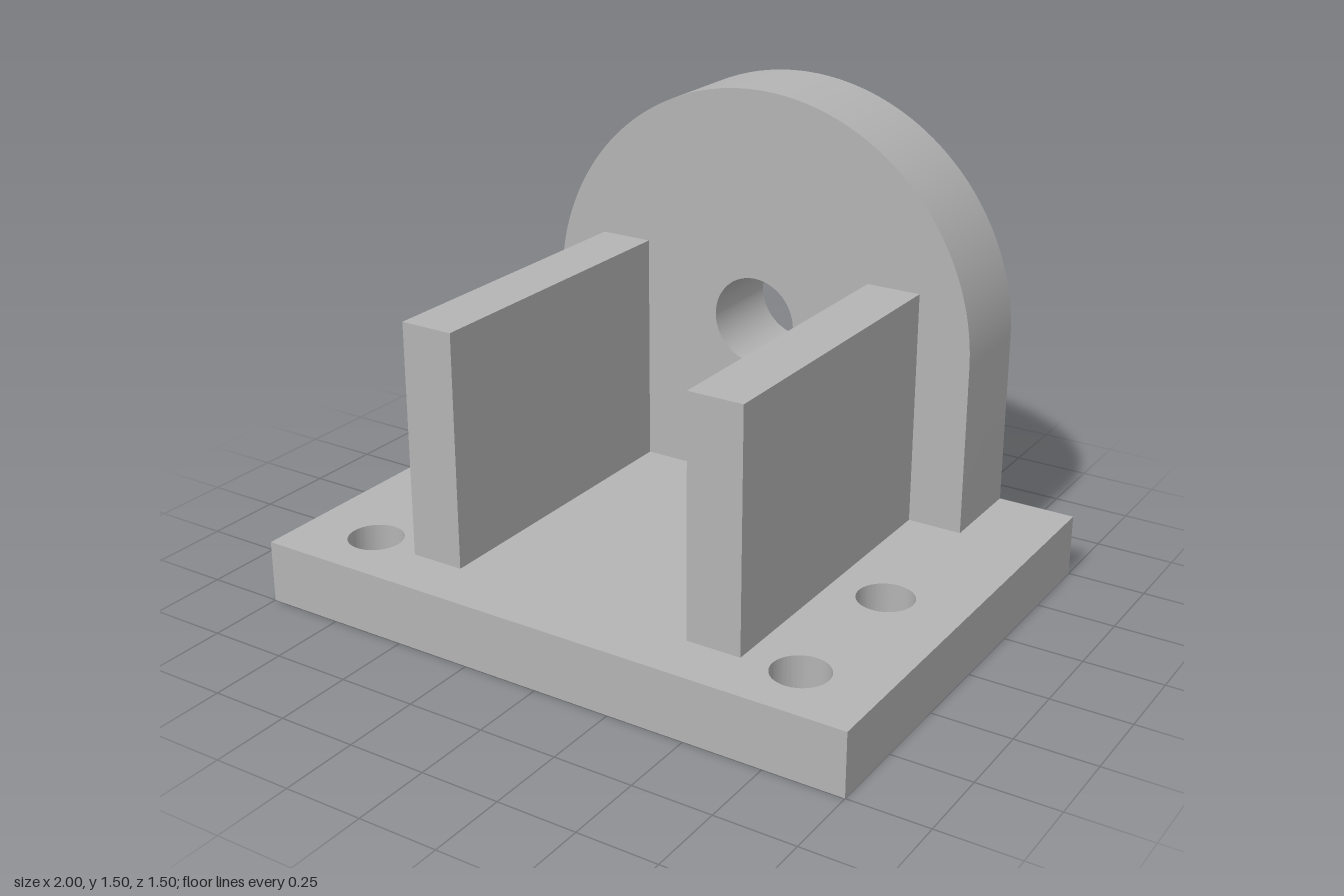
import * as THREE from 'three';
import { toCreasedNormals } from 'three/addons/utils/BufferGeometryUtils.js';

export function createModel() {
  const model = new THREE.Group();
  model.name = 'bearingBracket';

  const steel = new THREE.MeshStandardMaterial({ color: 0xb4b4b4 });
  steel.name = 'plain grey';

  const add = (name, geometry) => {
    const mesh = new THREE.Mesh(geometry, steel);
    mesh.name = name;
    model.add(mesh);
    return mesh;
  };

  const punch = (shape, x, y, radius) =>
    shape.holes.push(new THREE.Path().absarc(x, y, radius, 0, Math.PI * 2, true));

  // Extrude a plate along z, with smooth bores and sharp rims
  const plate = (shape, depth) =>
    new THREE.ExtrudeGeometry(shape, { depth, bevelEnabled: false, curveSegments: 48 });
  const crease = (geometry) => toCreasedNormals(geometry, Math.PI / 6);

  // Base plate with four bolt holes; shape y becomes -z when laid flat
  const base = new THREE.Shape();
  base.moveTo(-1, -0.75).lineTo(1, -0.75).lineTo(1, 0.75).lineTo(-1, 0.75).closePath();
  for (const x of [-0.75, 0.75]) {
    for (const z of [0.05, 0.55]) punch(base, x, -z, 0.0875);
  }
  add('basePlate', crease(plate(base, 0.2).rotateX(-Math.PI / 2)));

  // Round-topped upright flush with the back edge, with a central bore
  const upright = new THREE.Shape();
  upright.moveTo(-0.75, 0.2).lineTo(0.75, 0.2).lineTo(0.75, 0.75);
  upright.absarc(0, 0.75, 0.75, 0, Math.PI, false);
  upright.closePath();
  punch(upright, 0, 0.75, 0.1425);
  add('upright', crease(plate(upright, 0.3).translate(0, 0, -0.75)));

  // Pair of ribs running forward from the upright
  for (const [name, side] of [['leftRib', 1], ['rightRib', -1]]) {
    add(name, new THREE.BoxGeometry(0.175, 0.75, 1.025))
      .position.set(side * 0.4875, 0.575, 0.0625);
  }

  return model;
}
